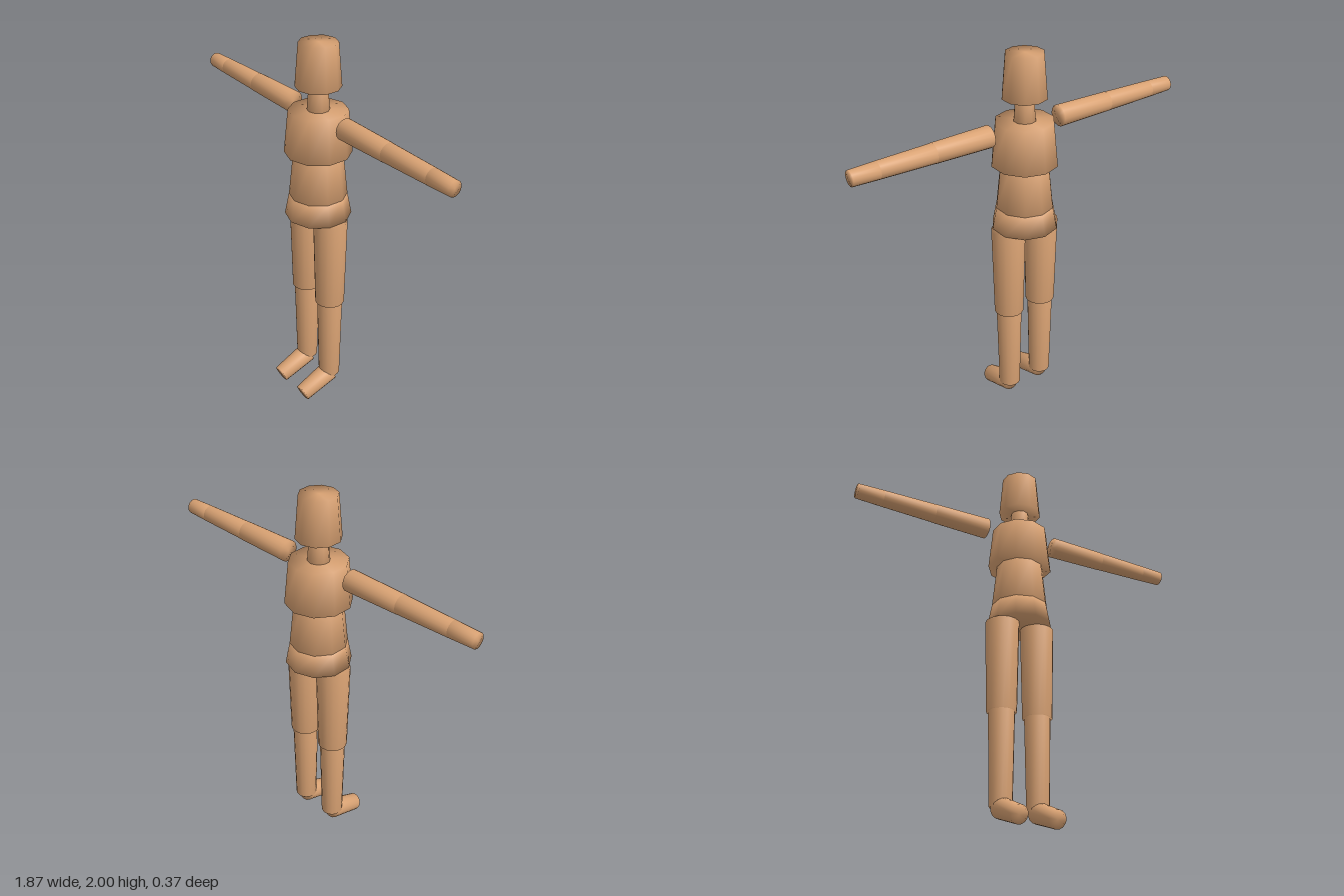
import * as THREE from 'three';
import { mergeVertices } from 'three/addons/utils/BufferGeometryUtils.js';

const wood = new THREE.MeshStandardMaterial({ color: 0xd9a273 });
wood.name = 'warm wood';

const Z = -0.014; // body axis
const UP = new THREE.Vector3(0, 1, 0);

// Tapered solid from point a (radius ra) to point b (radius rb), softly shaded over its rims
function segment(name, a, b, ra, rb, sides) {
  const start = new THREE.Vector3(...a);
  const end = new THREE.Vector3(...b);
  const axis = end.clone().sub(start);
  let geo = new THREE.CylinderGeometry(rb, ra, axis.length(), sides);
  geo.deleteAttribute('uv');
  geo.deleteAttribute('normal');
  geo = mergeVertices(geo, 1e-5);
  geo.computeVertexNormals();
  const mesh = new THREE.Mesh(geo, wood);
  mesh.name = name;
  mesh.position.copy(start).add(end).multiplyScalar(0.5);
  mesh.quaternion.setFromUnitVectors(UP, axis.normalize());
  return mesh;
}

export function createModel() {
  const model = new THREE.Group();
  model.name = 'jointedFigure';

  // Ten-sided trunk: name, bottom y, top y, bottom radius, top radius
  const trunk = [
    ['hips', 1.09, 1.205, 0.17, 0.148],
    ['waist', 1.205, 1.438, 0.148, 0.124],
    ['chest', 1.438, 1.662, 0.17, 0.148],
    ['neck', 1.662, 1.78, 0.056, 0.047],
    ['head', 1.78, 2.0, 0.114, 0.096],
  ];
  for (const [name, y0, y1, r0, r1] of trunk) {
    model.add(segment(name, [0, y0, Z], [0, y1, Z], r0, r1, 10));
  }

  for (const [side, s] of [['left', 1], ['right', -1]]) {
    // Arm stretched straight out to the side
    const arm = new THREE.Group();
    arm.name = side + 'Arm';
    const armY = 1.631;
    const armParts = [
      ['UpperArm', 0.207, 0.515, 0.055, 0.05],
      ['Forearm', 0.515, 0.802, 0.049, 0.043],
      ['Hand', 0.802, 0.936, 0.043, 0.039],
    ];
    for (const [name, x0, x1, r0, r1] of armParts) {
      arm.add(segment(side + name, [s * x0, armY, Z], [s * x1, armY, Z], r0, r1, 16));
    }

    // Leg with a foot angled forward and down from the ankle
    const leg = new THREE.Group();
    leg.name = side + 'Leg';
    const x = s * 0.102;
    leg.add(
      segment(side + 'Thigh', [x, 0.6, Z], [x, 1.09, Z], 0.077, 0.088, 16),
      segment(side + 'Shin', [x, 0.12, Z], [x, 0.6, Z], 0.057, 0.067, 16),
      segment(side + 'Foot', [x, 0.117, Z], [x, 0.046, 0.168], 0.055, 0.047, 16),
    );
    model.add(arm, leg);
  }
  return model;
}
